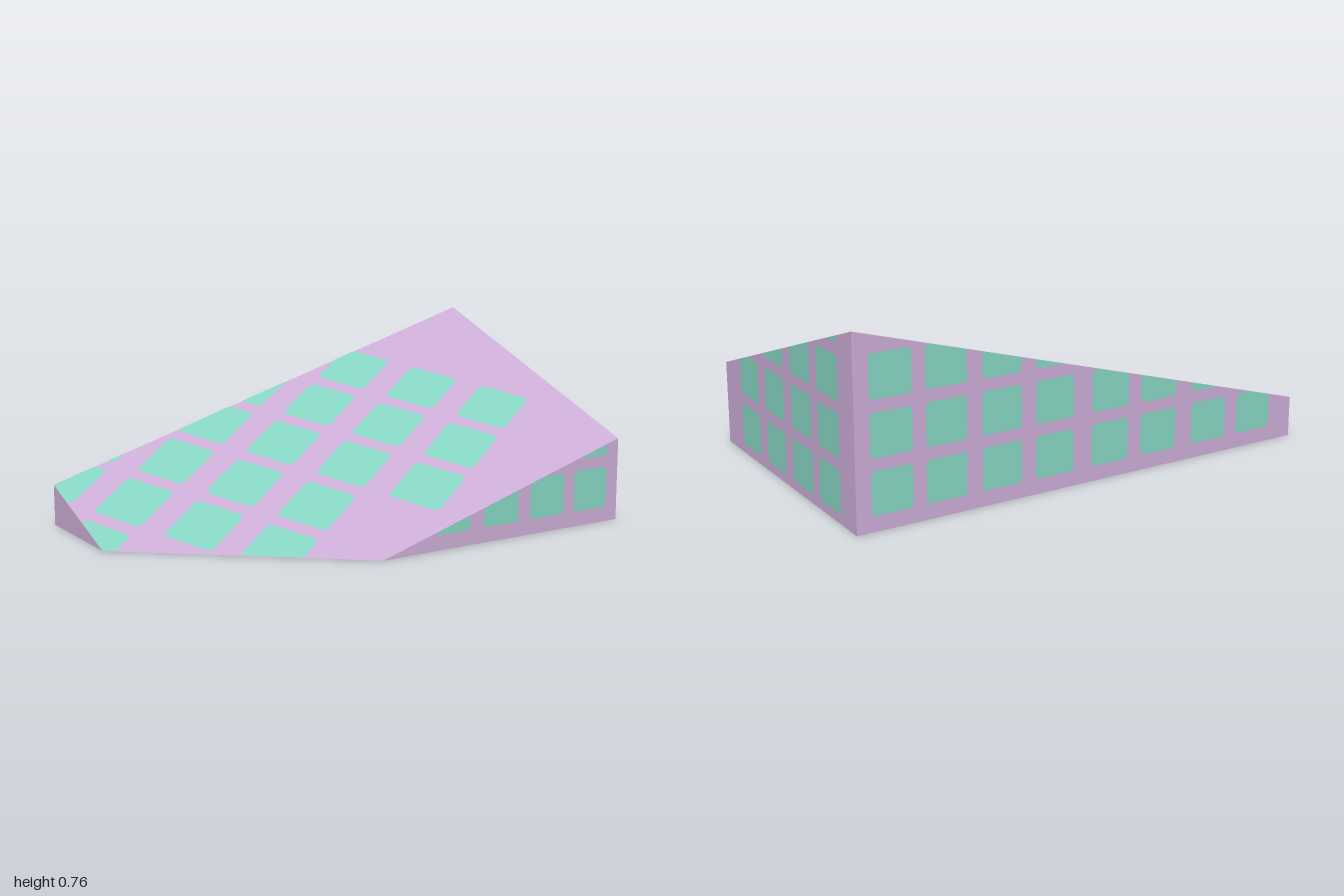
import * as THREE from 'three';

const D = 0.577; // half depth
const A = 0.2545, B = 0.295, C = -0.3596; // sloping roof: y = A + B x + C z
const roofY = (x, z) => A + B * x + C * z;
const frontX = -(A + C * D) / B; // where the roof meets the ground at the front
const leftZ = -(A - B) / C; // and at the left edge

// Geometry from flat convex polygons, each turned to face its normal
function polygons(list, lift = 0) {
  const pos = [], a = new THREE.Vector3(), b = new THREE.Vector3();
  for (const { pts, n } of list) {
    for (let i = 1; i < pts.length - 1; i++) {
      a.subVectors(pts[i], pts[0]);
      b.subVectors(pts[i + 1], pts[0]);
      const ok = a.cross(b).dot(n) > 0;
      const tri = ok ? [pts[0], pts[i], pts[i + 1]] : [pts[0], pts[i + 1], pts[i]];
      for (const p of tri) pos.push(p.x + n.x * lift, p.y + n.y * lift, p.z + n.z * lift);
    }
  }
  const g = new THREE.BufferGeometry();
  g.setAttribute('position', new THREE.Float32BufferAttribute(pos, 3));
  g.computeVertexNormals();
  return g;
}

// Rounded tile outline: centre o, full edge vectors u and v
function tile(o, u, v, r = 0.1) {
  const pts = [];
  for (const [k, sx, sy] of [[0, 1, 1], [1, -1, 1], [2, -1, -1], [3, 1, -1]]) {
    for (let s = 0; s <= 3; s++) {
      const t = (k + s / 3) * Math.PI / 2;
      const p = sx * (0.5 - r) + r * Math.cos(t), q = sy * (0.5 - r) + r * Math.sin(t);
      pts.push([o[0] + u[0] * p + v[0] * q, o[1] + u[1] * p + v[1] * q]);
    }
  }
  return pts;
}

// Keep the part of a polygon where f >= 0 (f is linear)
function clip(pts, f) {
  const out = [];
  pts.forEach((p, i) => {
    const q = pts[(i + 1) % pts.length], fp = f(p), fq = f(q);
    if (fp >= 0) out.push(p);
    if (fp * fq < 0) {
      const t = fp / (fp - fq);
      out.push([p[0] + (q[0] - p[0]) * t, p[1] + (q[1] - p[1]) * t]);
    }
  });
  return out;
}

export function createModel() {
  const group = new THREE.Group();
  const mauve = new THREE.MeshStandardMaterial({ color: 0xc9abd3 });
  mauve.name = 'mauve';
  const mint = new THREE.MeshStandardMaterial({ color: 0x84d2c0 });
  mint.name = 'mint';
  const add = (name, geometry, material) => {
    const m = new THREE.Mesh(geometry, material);
    m.name = name;
    group.add(m);
  };
  const V = (x, y, z) => new THREE.Vector3(x, y, z);
  const onRoof = ([x, z]) => V(x, roofY(x, z), z);
  const onGround = ([x, z]) => V(x, 0, z);
  const roofN = V(-B, 1, -C).normalize();

  // Wedge body: a block cut off by the sloping roof
  const plan = [[-1, -D], [1, -D], [1, D], [frontX, D], [-1, leftZ]];
  const wall = (p, q, n) => ({ pts: [onGround(p), onGround(q), onRoof(q), onRoof(p)], n });
  add('wedgeBody', polygons([
    { pts: plan.map(onGround), n: V(0, -1, 0) },
    { pts: plan.map(onRoof), n: roofN },
    wall(plan[0], plan[1], V(0, 0, -1)),
    wall(plan[1], plan[2], V(1, 0, 0)),
    { pts: [onGround(plan[2]), onRoof(plan[2]), onGround(plan[3])], n: V(0, 0, 1) },
    { pts: [onGround(plan[0]), onRoof(plan[0]), onGround(plan[4])], n: V(-1, 0, 0) },
  ]), mauve);

  // Upright walls: a grid of tiles cut off by the roof line
  function wallTiles(name, columns, rows, size, place, top, n) {
    const list = [];
    for (const c of columns) for (const r of rows) {
      const pts = clip(tile([c, r], [size, 0], [0, size]), p => top(p[0]) - p[1]);
      if (pts.length > 2) list.push({ pts: pts.map(place), n });
    }
    add(name, polygons(list, 0.002), mint);
  }
  wallTiles('leftWallTiles', [0.336, 0.096, -0.143, -0.373], [0.125, 0.34, 0.555, 0.772], 0.172,
    ([z, y]) => V(1, y, z), z => roofY(1, z), V(1, 0, 0));
  wallTiles('frontWallTiles', [0.855, 0.63, 0.4, 0.163], [0.147, 0.365], 0.17,
    ([x, y]) => V(x, y, D), x => roofY(x, D), V(0, 0, 1));
  wallTiles('backWallTiles', [0.855, 0.63, 0.395, 0.163, -0.09, -0.32, -0.57, -0.8],
    [0.147, 0.365, 0.583], 0.17,
    ([x, y]) => V(x, y, -D), x => roofY(x, -D), V(0, 0, -1));

  // Roof: a turned grid of tiles, given as first and last tile of each row
  const U = [0.25, -0.118], W = [-0.163, -0.288];
  const rows = [[0, 2], [-2, 2], [-2, 2], [-3, 1], [-2, -1]];
  const roof = [];
  rows.forEach(([first, last], j) => {
    for (let i = first; i <= last; i++) {
      const o = [0.209 + U[0] * i + W[0] * j, 0.342 + U[1] * i + W[1] * j];
      let pts = tile(o, U.map(k => k * 0.81), W.map(k => k * 0.67));
      pts = clip(pts, p => p[0] + 1);
      pts = clip(pts, p => p[1] + D);
      pts = clip(pts, p => roofY(p[0], p[1]));
      if (pts.length > 2) roof.push({ pts: pts.map(onRoof), n: roofN });
    }
  });
  add('roofTiles', polygons(roof, 0.002), mint);

  return group;
}
